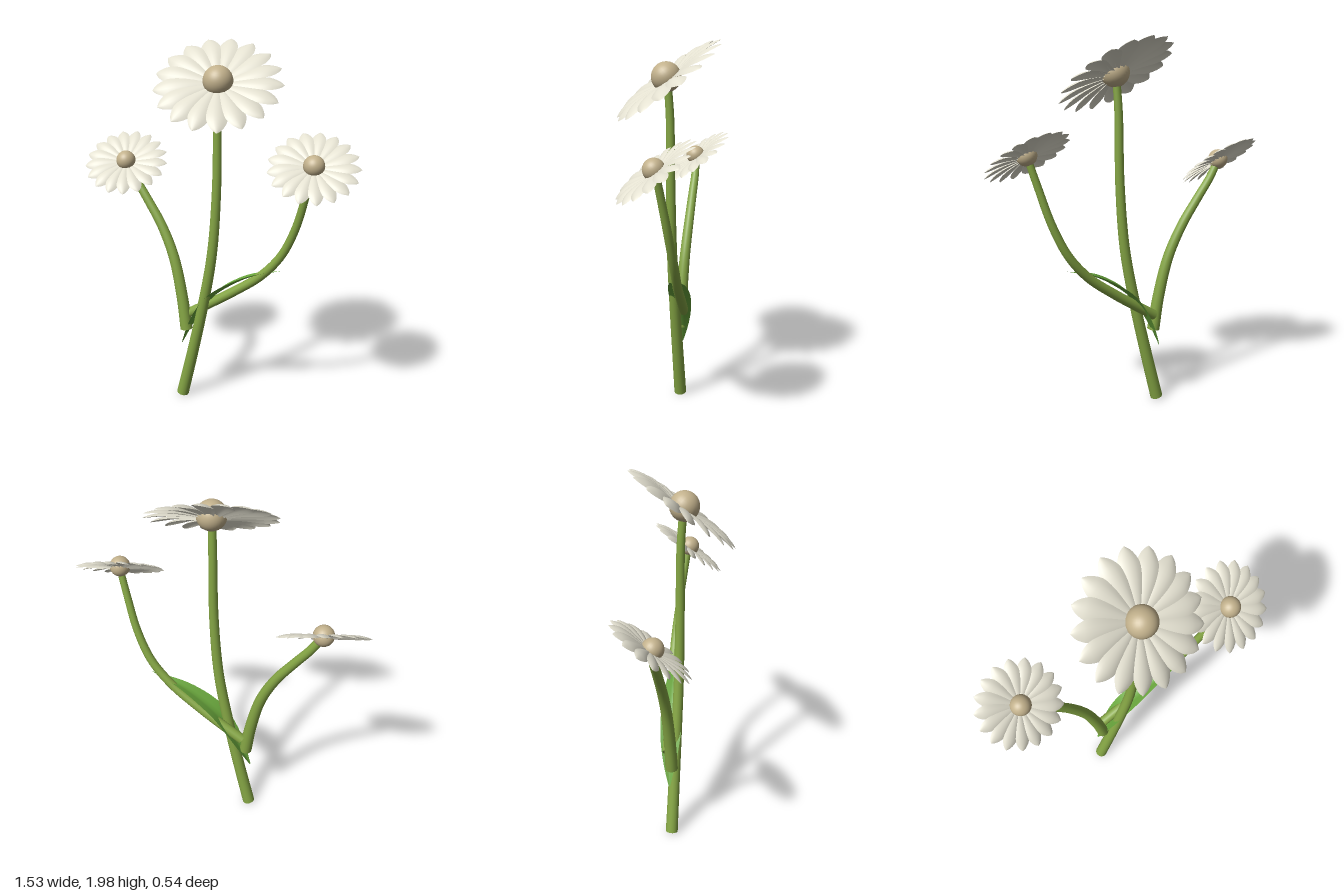
import * as THREE from 'three';

const V = (p) => new THREE.Vector3(...p);

const petalMat = new THREE.MeshStandardMaterial({ color: 0xe3e0d0, side: THREE.DoubleSide });
petalMat.name = 'ivory petal';
const centreMat = new THREE.MeshStandardMaterial({ color: 0xc2b18c });
centreMat.name = 'tan flower centre';
const stemMat = new THREE.MeshStandardMaterial({ color: 0x86a745 });
stemMat.name = 'stem green';
const leafMat = new THREE.MeshStandardMaterial({ color: 0x69a63c, side: THREE.DoubleSide });
leafMat.name = 'leaf green';

// Smooth sheet from a grid: point(t, s) with t along 0..1 and s across -1..1
function sheet(rows, cols, point) {
  const pos = [], idx = [];
  for (let i = 0; i <= rows; i++) {
    for (let j = 0; j <= cols; j++) pos.push(...point(i / rows, (j / cols) * 2 - 1));
  }
  for (let i = 0; i < rows; i++) {
    for (let j = 0; j < cols; j++) {
      const a = i * (cols + 1) + j, b = a + cols + 1;
      idx.push(a, a + 1, b, b, a + 1, b + 1);
    }
  }
  const geo = new THREE.BufferGeometry();
  geo.setAttribute('position', new THREE.Float32BufferAttribute(pos, 3));
  geo.setIndex(idx);
  geo.computeVertexNormals();
  return geo;
}

// Tapered stem along a curve with a flat cap at its lower end
function stem(name, points, r0, r1) {
  const group = new THREE.Group();
  group.name = name;
  const curve = new THREE.CatmullRomCurve3(points.map(V));
  const rings = 40, sides = 16;
  const geo = new THREE.TubeGeometry(curve, rings, r0, sides);
  const pos = geo.attributes.position, p = new THREE.Vector3();
  for (let i = 0; i <= rings; i++) {
    const c = curve.getPointAt(i / rings);
    const k = THREE.MathUtils.lerp(1, r1 / r0, i / rings);
    for (let j = 0; j <= sides; j++) {
      const n = i * (sides + 1) + j;
      p.fromBufferAttribute(pos, n).sub(c).multiplyScalar(k).add(c);
      pos.setXYZ(n, p.x, p.y, p.z);
    }
  }
  const tube = new THREE.Mesh(geo, stemMat);
  tube.name = name + 'Tube';
  const cap = new THREE.Mesh(new THREE.CircleGeometry(r0, sides), stemMat);
  cap.name = name + 'Cap';
  cap.position.copy(curve.getPointAt(0));
  cap.quaternion.setFromUnitVectors(new THREE.Vector3(0, 0, 1), curve.getTangentAt(0).negate());
  group.add(tube, cap);
  return group;
}

// One petal along +x: narrow base, broad middle, pointed tip, arched across
const petalWidth = new THREE.CatmullRomCurve3(
  [[0, 0.018], [0.3, 0.033], [0.55, 0.047], [0.74, 0.05], [0.88, 0.034], [0.95, 0.019], [1, 0.001]]
    .map(([t, w]) => new THREE.Vector3(t, w, 0)));
const petalGeo = sheet(14, 6, (t, s) => {
  const p = petalWidth.getPoint(t), w = p.y;
  const arch = 0.3 * w * (1 - s * s);
  const rise = 0.012 * Math.sin(Math.PI * p.x) - 0.02;
  return [0.04 + 0.283 * p.x, rise + arch + 0.16 * w * s, w * s];
});

// Daisy head: ball centre and a ring of petals, tilted to the front and left
const facing = new THREE.Vector3(0.33, 1, 0.68).normalize();
function flower(name, at, scale) {
  const head = new THREE.Group();
  head.name = name;
  const ball = new THREE.Mesh(new THREE.SphereGeometry(0.075, 28, 20), centreMat);
  ball.name = 'flowerCentre';
  head.add(ball);
  const count = 17;
  for (let i = 0; i < count; i++) {
    const petal = new THREE.Mesh(petalGeo, petalMat);
    petal.name = 'petal';
    petal.rotation.y = -(THREE.MathUtils.degToRad(102) + (i / count) * Math.PI * 2);
    head.add(petal);
  }
  head.position.set(...at);
  head.scale.setScalar(scale);
  head.quaternion.setFromUnitVectors(new THREE.Vector3(0, 1, 0), facing);
  return head;
}

// Long folded leaf lying over the left branch
function leaf() {
  const spine = new THREE.CatmullRomCurve3([
    [-0.2, 0.32, -0.025], [-0.15, 0.42, -0.035], [-0.08, 0.54, -0.045], [0, 0.645, -0.055],
    [0.1, 0.725, -0.07], [0.21, 0.79, -0.09], [0.365, 0.845, -0.12]].map(V));
  const geo = sheet(28, 6, (t, s) => {
    const c = spine.getPointAt(t), d = spine.getTangentAt(t);
    const w = 0.058 * Math.pow(Math.sin(Math.PI * Math.pow(t, 0.9)), 1.1) + 0.004 * (1 - t);
    const lift = 0.3 * w * Math.abs(s);
    return [c.x - d.y * lift, c.y + d.x * lift, c.z + w * s];
  });
  const mesh = new THREE.Mesh(geo, leafMat);
  mesh.name = 'leaf';
  return mesh;
}

export function createModel() {
  const model = new THREE.Group();
  model.name = 'daisies';

  model.add(
    stem('mainStem', [[-0.193, 0.008, -0.015], [-0.125, 0.28, -0.017], [-0.055, 0.58, -0.018],
      [0.005, 0.9, -0.018], [0.032, 1.25, -0.018], [0.037, 1.6, -0.016], [0.045, 1.78, -0.006]], 0.034, 0.02),
    stem('rightBranch', [[-0.167, 0.418, -0.02], [-0.195, 0.6, -0.022], [-0.25, 0.82, -0.026],
      [-0.33, 0.99, -0.028], [-0.425, 1.13, -0.025], [-0.5, 1.235, -0.022], [-0.55, 1.32, -0.014]], 0.034, 0.021),
    stem('leftBranch', [[-0.155, 0.51, -0.045], [-0.04, 0.585, -0.065], [0.1, 0.68, -0.088],
      [0.25, 0.795, -0.11], [0.36, 0.925, -0.123], [0.44, 1.09, -0.118], [0.5, 1.28, -0.1],
      [0.54, 1.415, -0.085]], 0.028, 0.018),
  );

  model.add(
    flower('mainFlower', [0.05, 1.805, 0], 1),
    flower('rightFlower', [-0.555, 1.332, -0.01], 0.7),
    flower('leftFlower', [0.545, 1.432, -0.078], 0.7),
    leaf(),
  );
  return model;
}
